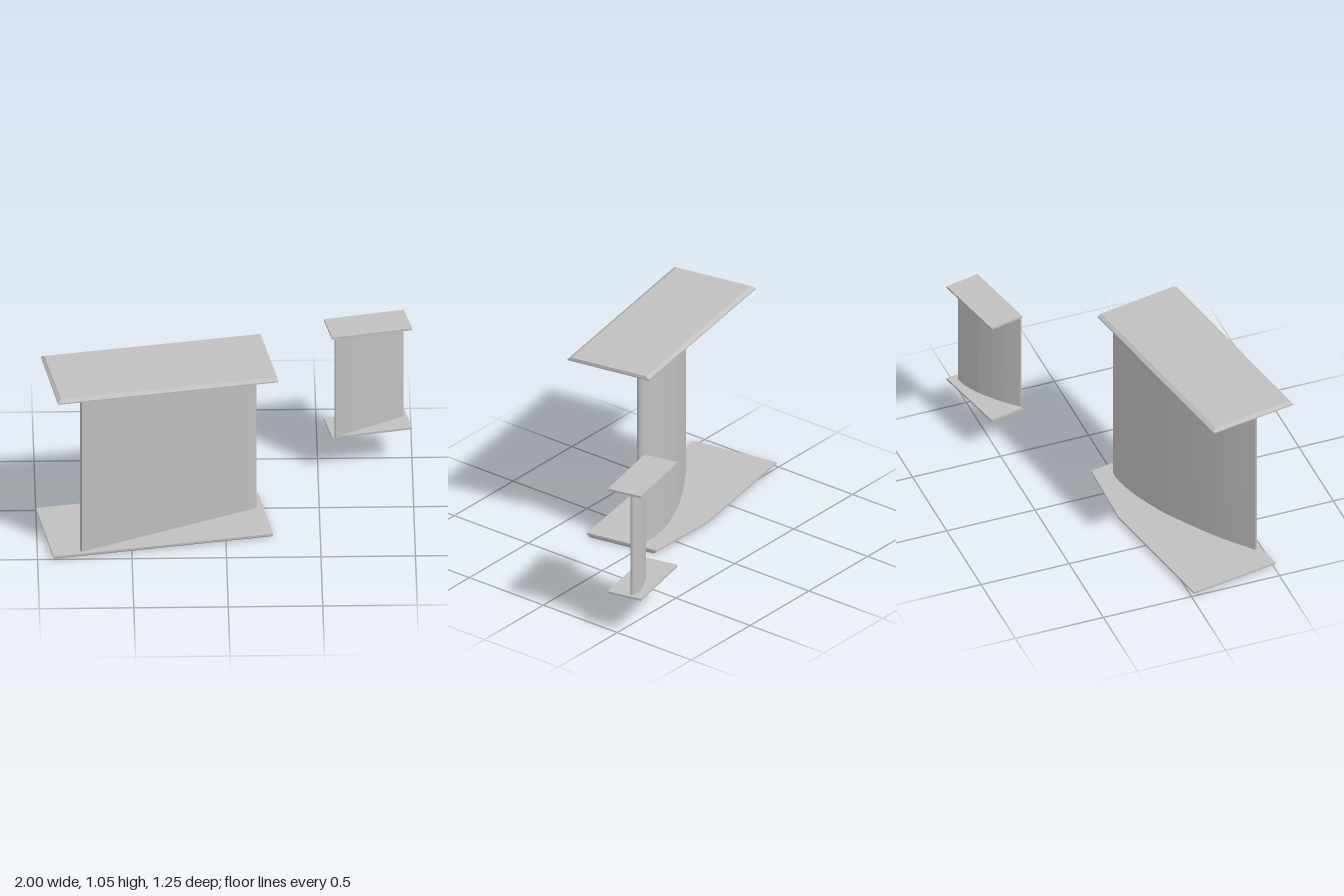
import * as THREE from 'three';
import { toCreasedNormals } from 'three/addons/utils/BufferGeometryUtils.js';

const grey = new THREE.MeshStandardMaterial({ color: 0xc0c0c0 });
grey.name = 'plain grey';

function add(group, name, geometry) {
  const mesh = new THREE.Mesh(geometry, grey);
  mesh.name = name;
  group.add(mesh);
}

// Upright aerofoil: flat on the front, cambered behind, blunt nose toward +x.
// Points are [x, z] as fractions of the box that encloses the section.
const camber = [
  [0, 0.97], [0.14, 0.74], [0.29, 0.53], [0.49, 0.285], [0.6, 0.18], [0.72, 0.085],
  [0.83, 0.025], [0.91, 0], [0.965, 0.012], [0.995, 0.045], [0.998, 0.085], [0.97, 0.125],
];
function wing(x0, x1, z0, z1, y0, y1) {
  const at = ([u, w]) => new THREE.Vector2(x0 + u * (x1 - x0), -(z0 + w * (z1 - z0)));
  const curve = new THREE.SplineCurve(camber.map(at));
  const shape = new THREE.Shape([...curve.getPoints(66), at([0.012, 1])]);
  const geo = new THREE.ExtrudeGeometry(shape, { depth: y1 - y0, bevelEnabled: false });
  geo.rotateX(-Math.PI / 2).translate(0, y0, 0);
  return toCreasedNormals(geo, 0.5);
}

// Convex plate lofted between a lower and an upper outline of [x, z] corners
function plate(lower, upper, y0, y1) {
  const n = lower.length;
  const pos = [], index = [];
  lower.forEach(([x, z]) => pos.push(x, y0, z));
  upper.forEach(([x, z]) => pos.push(x, y1, z));
  for (let i = 0; i < n; i++) {
    const j = (i + 1) % n;
    index.push(i, j, n + j, i, n + j, n + i);
    if (i > 0 && i < n - 1) index.push(0, i + 1, i, n, n + i, n + i + 1);
  }
  const geo = new THREE.BufferGeometry();
  geo.setAttribute('position', new THREE.Float32BufferAttribute(pos, 3));
  geo.setIndex(index);
  const flat = geo.toNonIndexed();
  flat.computeVertexNormals();
  return flat;
}

export function createModel() {
  const model = new THREE.Group();
  model.name = 'wingPair';

  // Large wing with bevelled end plates
  const main = new THREE.Group();
  main.name = 'mainWing';
  add(main, 'mainAerofoil', wing(-0.775, 0.167, -0.01, 0.465, 0.018, 1.036));
  const topOutline = [[-0.975, 0.135], [-0.893, 0.62], [0.275, 0.412], [0.19, -0.07]];
  const topInset = [[-0.957, 0.155], [-0.878, 0.594], [0.27, 0.392], [0.19, -0.05]];
  add(main, 'topPlateRim', plate(topOutline, topOutline, 1.03, 1.037));
  add(main, 'topPlate', plate(topOutline, topInset, 1.037, 1.05));
  const bottomOutline = [[-1, 0.015], [-0.915, 0.51], [0.25, 0.3], [0.18, -0.11], [-0.24, -0.12]];
  const bottomInset = [[-0.975, 0.03], [-0.895, 0.49], [0.245, 0.285], [0.18, -0.09], [-0.24, -0.1]];
  add(main, 'bottomPlateRim', plate(bottomOutline, bottomOutline, 0.013, 0.024));
  add(main, 'bottomPlate', plate(bottomInset, bottomOutline, 0, 0.013));
  model.add(main);

  // Small wing with thin flat end plates
  const small = new THREE.Group();
  small.name = 'smallWing';
  add(small, 'smallAerofoil', wing(0.588, 0.956, -0.573, -0.345, 0.222, 0.834));
  const outline = [[0.535, -0.538], [0.575, -0.347], [1, -0.436], [0.96, -0.627]];
  add(small, 'smallTopPlate', plate(outline, outline, 0.828, 0.84));
  add(small, 'smallBottomPlate', plate(outline, outline, 0.214, 0.226));
  model.add(small);

  return model;
}
